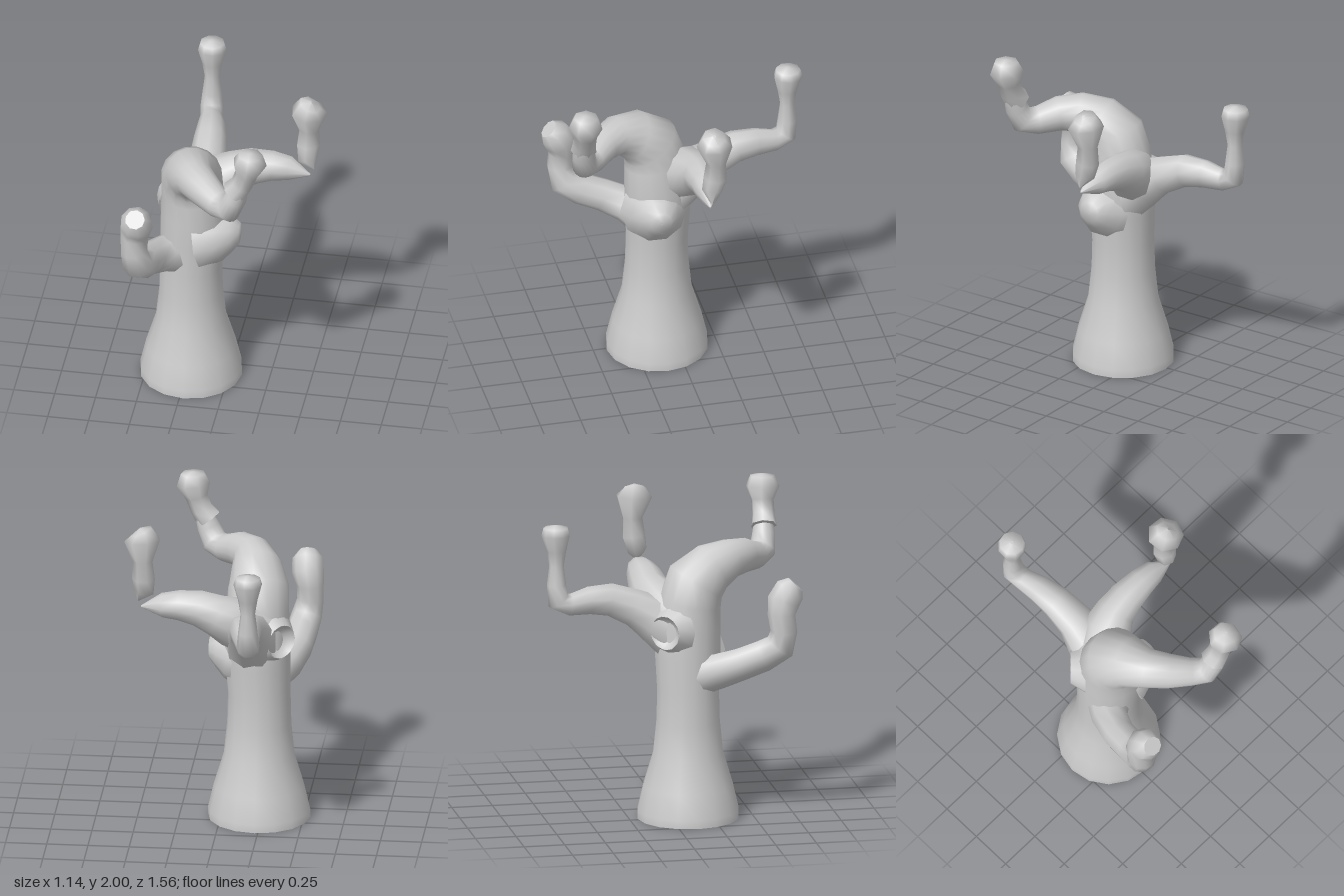
import * as THREE from 'three';

const material = new THREE.MeshStandardMaterial({ color: 0xcccccc, side: THREE.DoubleSide });

// Organic limb: rings [x, y, z, radius] swept along a path with carried frames and closed ends
function limb(name, rings, sides = 10) {
  const centres = rings.map(r => new THREE.Vector3(r[0], r[1], r[2]));
  const pos = [], idx = [];
  const last = rings.length - 1;
  const normal = new THREE.Vector3();
  const edges = [];
  centres.forEach((c, i) => {
    const before = c.clone().sub(centres[Math.max(i - 1, 0)]).normalize();
    const after = centres[Math.min(i + 1, last)].clone().sub(c).normalize();
    const t = before.add(after).normalize();
    if (i === 0) normal.set(0, 0, 1).addScaledVector(t, -t.z);
    if (normal.lengthSq() < 0.05) normal.set(1, 0, 0);
    normal.addScaledVector(t, -normal.dot(t)).normalize();
    const side = new THREE.Vector3().crossVectors(t, normal);
    const edge = [];
    for (let j = 0; j < sides; j++) {
      const a = j / sides * Math.PI * 2;
      const p = c.clone().addScaledVector(normal, Math.cos(a) * rings[i][3])
        .addScaledVector(side, Math.sin(a) * rings[i][3]);
      edge.push(p);
      pos.push(p.x, p.y, p.z);
    }
    edges.push(edge);
  });
  for (let i = 0; i < last; i++) {
    for (let j = 0; j < sides; j++) {
      const k = (j + 1) % sides;
      const a = i * sides + j, b = i * sides + k;
      idx.push(a, b, a + sides, b, b + sides, a + sides);
    }
  }
  // End caps with their own vertices so the rims stay crisp
  [0, last].forEach(e => {
    const start = pos.length / 3;
    pos.push(...centres[e].toArray());
    edges[e].forEach(p => pos.push(p.x, p.y, p.z));
    for (let j = 0; j < sides; j++) {
      const a = start + 1 + j, b = start + 1 + (j + 1) % sides;
      if (e === 0) idx.push(start, b, a); else idx.push(start, a, b);
    }
  });
  const geometry = new THREE.BufferGeometry();
  geometry.setAttribute('position', new THREE.Float32BufferAttribute(pos, 3));
  geometry.setIndex(idx);
  geometry.computeVertexNormals();
  const mesh = new THREE.Mesh(geometry, material);
  mesh.name = name;
  return mesh;
}

export function createModel() {
  const group = new THREE.Group();
  group.name = 'gnarledTree';

  // Flared trunk whose crown bends forward into the upper front branch
  group.add(limb('trunkAndCrown', [
    [-0.23, 0, 0.11, 0.31], [-0.23, 0.05, 0.11, 0.31], [-0.23, 0.2, 0.11, 0.275],
    [-0.23, 0.4, 0.11, 0.215], [-0.23, 0.6, 0.11, 0.195], [-0.23, 0.8, 0.11, 0.19],
    [-0.22, 1.0, 0.11, 0.2], [-0.21, 1.18, 0.11, 0.205], [-0.22, 1.34, 0.125, 0.19],
    [-0.22, 1.46, 0.16, 0.185], [-0.2, 1.54, 0.26, 0.155], [-0.16, 1.58, 0.38, 0.12],
    [-0.08, 1.575, 0.48, 0.105], [0.02, 1.545, 0.57, 0.085], [0.09, 1.56, 0.63, 0.08],
    [0.13, 1.65, 0.645, 0.07], [0.16, 1.73, 0.65, 0.055],
  ], 16));
  group.add(limb('upperFrontTwig', [
    [0.125, 1.7, 0.645, 0.08], [0.17, 1.76, 0.65, 0.07], [0.2, 1.84, 0.65, 0.07],
    [0.22, 1.92, 0.655, 0.105], [0.225, 1.985, 0.655, 0.075], [0.225, 1.995, 0.655, 0.01],
  ], 7));

  // Low front branch on the right, with its upturned twig
  group.add(limb('lowFrontBranch', [
    [-0.27, 0.9, 0.15, 0.14], [-0.38, 0.94, 0.27, 0.11], [-0.43, 0.99, 0.4, 0.1],
    [-0.45, 1.04, 0.53, 0.098], [-0.47, 1.1, 0.63, 0.095], [-0.49, 1.2, 0.65, 0.082],
    [-0.49, 1.3, 0.635, 0.085], [-0.475, 1.38, 0.65, 0.1], [-0.47, 1.445, 0.69, 0.095],
    [-0.47, 1.48, 0.725, 0.06],
  ], 9));

  // Left branch tapers to a point; its twig tip hangs just clear of it
  group.add(limb('leftBranch', [
    [-0.22, 1.22, 0.02, 0.16], [-0.08, 1.31, -0.05, 0.155], [0.02, 1.36, -0.08, 0.125],
    [0.12, 1.4, -0.085, 0.11], [0.24, 1.415, -0.085, 0.092], [0.34, 1.41, -0.08, 0.075],
    [0.47, 1.39, -0.06, 0.006],
  ]));
  group.add(limb('leftTwig', [
    [0.49, 1.43, -0.065, 0.006], [0.45, 1.5, -0.075, 0.062], [0.45, 1.59, -0.095, 0.072],
    [0.455, 1.7, -0.1, 0.062], [0.458, 1.83, -0.09, 0.112], [0.465, 1.885, -0.085, 0.07],
    [0.48, 1.9, -0.085, 0.01],
  ], 7));

  // Back branch with its upright twig
  group.add(limb('backBranch', [
    [-0.2, 1.13, 0.04, 0.17], [-0.19, 1.24, -0.1, 0.145], [-0.185, 1.31, -0.22, 0.115],
    [-0.195, 1.37, -0.37, 0.1], [-0.21, 1.375, -0.5, 0.085], [-0.23, 1.36, -0.62, 0.068],
    [-0.24, 1.39, -0.69, 0.07], [-0.24, 1.49, -0.7, 0.06], [-0.24, 1.61, -0.7, 0.045],
    [-0.24, 1.7, -0.7, 0.06], [-0.24, 1.8, -0.705, 0.088], [-0.24, 1.845, -0.705, 0.075],
    [-0.24, 1.86, -0.705, 0.01],
  ], 9));

  // Blunt knot on the left of the trunk
  group.add(limb('knot', [
    [-0.16, 1.02, 0.14, 0.21], [-0.05, 1.04, 0.15, 0.165], [0.03, 1.06, 0.15, 0.11],
    [0.075, 1.06, 0.15, 0.065], [0.082, 1.06, 0.15, 0.01],
  ]));

  // Rounded knothole on the back right of the trunk
  const hole = new THREE.Group();
  hole.name = 'knothole';
  hole.position.set(-0.35, 1.19, -0.03);
  hole.lookAt(-1.35, 1.19, -1.03);
  const rim = new THREE.Mesh(new THREE.CylinderGeometry(0.105, 0.16, 0.09, 12, 1, true), material);
  rim.name = 'knotholeRim';
  rim.rotation.x = Math.PI / 2;
  const bowl = new THREE.Mesh(
    new THREE.SphereGeometry(0.12, 14, 5, 0, Math.PI * 2, 0, Math.PI / 3), material);
  bowl.name = 'knotholeBowl';
  bowl.rotation.x = -Math.PI / 2;
  bowl.position.z = 0.105;
  hole.add(rim, bowl);
  group.add(hole);

  return group;
}
